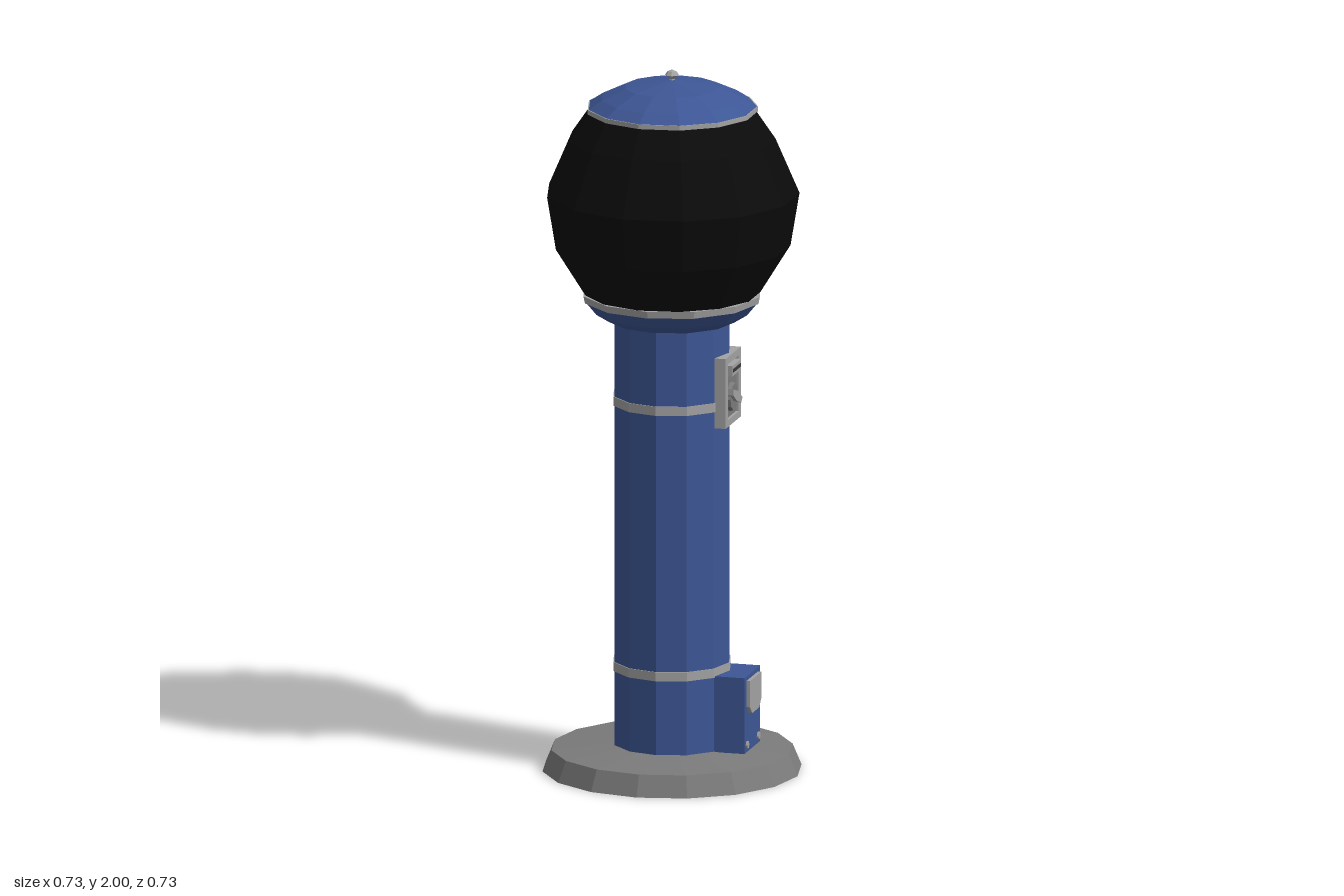
import * as THREE from 'three';

const paint = (name, color) => {
  const m = new THREE.MeshStandardMaterial({ color, flatShading: true });
  m.name = name;
  return m;
};

export function createModel() {
  const blue = paint('blue paint', 0x3d5695);
  const black = paint('black globe', 0x0b0b0b);
  const silver = paint('silver trim', 0xa3a3a3);
  const grey = paint('grey metal', 0x7b7b7b);
  const dark = paint('dark slot', 0x3c3c3c);

  const root = new THREE.Group();
  root.name = 'vendingMachine';

  const add = (name, geometry, material, x = 0, y = 0, z = 0, parent = root) => {
    const mesh = new THREE.Mesh(geometry, material);
    mesh.name = name;
    mesh.position.set(x, y, z);
    parent.add(mesh);
    return mesh;
  };
  // Faceted turned part: [radius, height] pairs from bottom to top, one corner on -x
  const turned = (name, profile, sides, material) =>
    add(name, new THREE.LatheGeometry(profile.map(([r, y]) => new THREE.Vector2(r, y)),
      sides, -Math.PI / 2), material);
  const box = (name, w, h, d, material, x, y, z, parent) =>
    add(name, new THREE.BoxGeometry(w, h, d), material, x, y, z, parent);
  // Flat outline drawn in (z, y) and extruded towards +x
  const plate = (name, points, depth, material, x, y, parent) => {
    const shape = new THREE.Shape(points.map(([a, b]) => new THREE.Vector2(a, b)));
    const mesh = add(name, new THREE.ExtrudeGeometry(shape, { depth, bevelEnabled: false }),
      material, x, y, 0, parent);
    mesh.rotation.y = Math.PI / 2;
    return mesh;
  };

  // Foot and column
  turned('base', [[0, 0], [0.363, 0], [0.338, 0.06], [0.165, 0.075], [0, 0.075]], 16, grey);
  turned('column', [[0.165, 0.07], [0.165, 1.29]], 12, blue);
  for (const y of [0.3, 1.06])
    turned('columnBand', [[0.16, y - 0.013], [0.168, y - 0.013], [0.168, y + 0.013],
      [0.16, y + 0.013]], 12, silver);

  // Collar under the globe
  turned('collar', [[0.16, 1.285], [0.18, 1.287], [0.217, 1.31], [0.247, 1.347]], 12, blue);
  turned('collarRim', [[0.24, 1.345], [0.25, 1.345], [0.254, 1.365], [0.2, 1.365]], 12, silver);

  // Globe, lid and finial
  turned('globe', [[0.2, 1.345], [0.243, 1.36], [0.33, 1.5], [0.355, 1.65], [0.288, 1.805],
    [0.233, 1.885], [0.2, 1.89]], 13, black);
  turned('lidRim', [[0.22, 1.883], [0.24, 1.883], [0.24, 1.896], [0.22, 1.896]], 13, silver);
  turned('lid', [[0.238, 1.895], [0.2, 1.92], [0.133, 1.951], [0, 1.972]], 13, blue);
  turned('finial', [[0.01, 1.96], [0.008, 1.974], [0.02, 1.985], [0.012, 1.995], [0, 2]], 7, silver);

  // Coin panel on the +x side
  const panel = new THREE.Group();
  panel.name = 'coinPanel';
  root.add(panel);
  box('panelBack', 0.03, 0.196, 0.15, silver, 0.15, 1.1, 0, panel);
  const frame = new THREE.Shape([[-0.077, -0.1], [0.077, -0.1], [0.077, 0.1], [-0.077, 0.1]]
    .map((p) => new THREE.Vector2(...p)));
  frame.holes.push(new THREE.Path([[-0.055, -0.08], [-0.055, 0.08], [0.055, 0.08], [0.055, -0.08]]
    .map((p) => new THREE.Vector2(...p))));
  add('panelFrame', new THREE.ExtrudeGeometry(frame, { depth: 0.035, bevelEnabled: false }),
    silver, 0.142, 1.1, 0, panel).rotation.y = Math.PI / 2;
  box('panelFace', 0.006, 0.16, 0.11, grey, 0.166, 1.1, 0, panel);
  box('coinSlotPlate', 0.02, 0.03, 0.09, silver, 0.177, 1.158, 0, panel);
  box('coinSlot', 0.003, 0.01, 0.075, dark, 0.187, 1.158, 0, panel);
  const hub = add('knobHub', new THREE.CylinderGeometry(0.038, 0.042, 0.012, 10), grey,
    0.174, 1.075, 0, panel);
  hub.rotation.z = -Math.PI / 2;
  // Slanted turning handle
  const handle = plate('knobHandle', [[-0.052, 0.008], [-0.045, -0.008], [0, -0.015],
    [0.045, -0.01], [0.052, 0.006], [0, 0.014]], 0.018, silver, 0.172, 1.078, panel);
  handle.rotation.order = 'YXZ';
  handle.rotation.z = -0.42;

  // Dispensing chute
  const chute = new THREE.Group();
  chute.name = 'chute';
  root.add(chute);
  box('chuteBox', 0.09, 0.217, 0.16, blue, 0.187, 0.182, 0, chute);
  plate('chuteFlap', [[-0.058, 0.05], [-0.058, -0.025], [-0.036, -0.047], [0.036, -0.047],
    [0.058, -0.025], [0.058, 0.05]], 0.012, silver, 0.23, 0.228, chute);
  for (const side of [-1, 1]) {
    const bolt = add('chuteBolt', new THREE.CylinderGeometry(0.011, 0.011, 0.008, 6), silver,
      0.233, 0.095, side * 0.057, chute);
    bolt.rotation.z = -Math.PI / 2;
  }

  return root;
}
